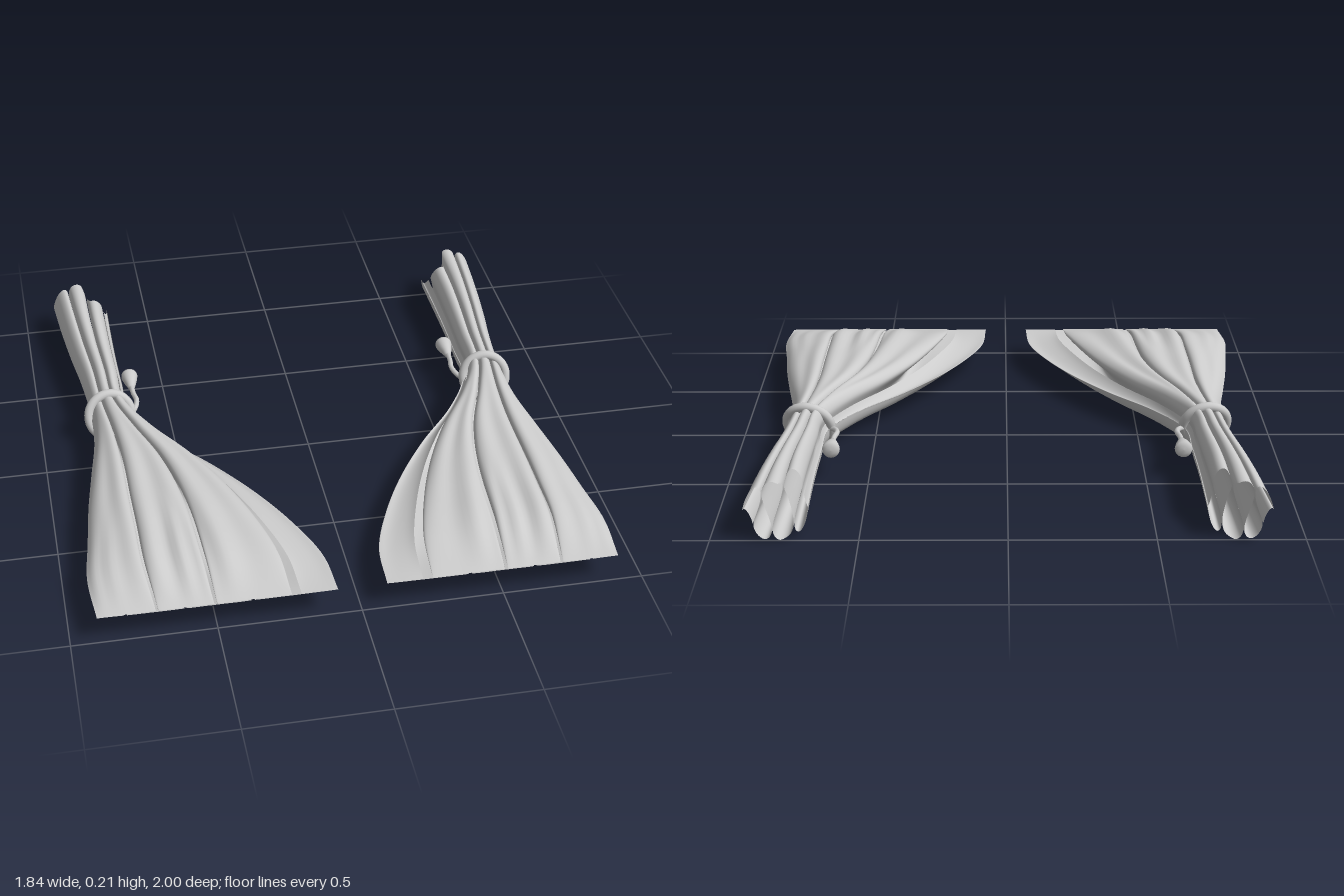
import * as THREE from 'three';

const MID = 0.107; // height of the cloth's middle plane
const WAVES = 2; // full pleats across the cloth
const lerp = THREE.MathUtils.lerp;
const smooth = THREE.MathUtils.smoothstep;

// Outline every 0.2 along z from -1 to 1: inner edge, outer edge, half thickness
const outline = new THREE.CatmullRomCurve3([
  [0.67, 0.885, 0.106], [0.672, 0.87, 0.104], [0.672, 0.85, 0.097], [0.668, 0.825, 0.09],
  [0.658, 0.81, 0.082], [0.555, 0.815, 0.09], [0.4, 0.845, 0.095], [0.27, 0.875, 0.095],
  [0.17, 0.897, 0.09], [0.1, 0.918, 0.068], [0.085, 0.905, 0.003],
].map((p) => new THREE.Vector3(...p)), false, 'catmullrom', 0.5);

// One sheet folded into overlapping pleats, gathered at the tie and flattened at the hem
function clothGeometry(side) {
  const geo = new THREE.PlaneGeometry(1, 1, 220, 90);
  const pos = geo.attributes.position;
  const uv = geo.attributes.uv;
  const o = new THREE.Vector3();
  const width = 1 / (WAVES + 1.43);
  for (let i = 0; i < pos.count; i++) {
    const v = 1 - uv.getY(i);
    outline.getPoint(v, o);
    let z = -1 + 2 * v;

    // Pleat: the sideways swing makes each fold bulge over its neighbour
    const turn = lerp(-1.1, 2 * WAVES + 1.2, uv.getX(i)) * Math.PI;
    const swing = 0.345 * width;
    let t = THREE.MathUtils.clamp(
      (turn / (2 * Math.PI) + 0.715) * width - swing * Math.sin(2 * turn), 0, 1);
    t += 0.06 * t * (1 - t) * Math.sin(z * 4 + t * 9);
    const wave = Math.sin(turn);

    // Rounded envelope, folds wider on the inner side towards the hem
    const dome = Math.pow(Math.max(0, 1 - Math.pow(Math.abs(2 * t - 1), 2.6)), 0.55);
    const spread = Math.pow(t, lerp(1.12, 0.82, smooth(z, -0.5, 0.8)));

    // Below the tie a soft crease splits each fold, with small ripples near the hem
    const crease = 0.2 * Math.pow(Math.abs(wave), 30) * smooth(z, -0.2, 0.4);
    const ripple = 0.1 * Math.sin(t * 47 + 2 * Math.sin(t * 13)) * smooth(z, 0.4, 0.9);
    const x = lerp(o.x, o.y, spread);
    const y = MID + o.z * wave * Math.max(dome, 0.1) * (1 - crease + ripple);

    // Inner folds stop short at the gathered end
    const shortfall = 0.13 * (1 - smooth(t, 0.36, 0.5)) * (0.6 + 0.4 * wave);
    z += shortfall * (1 - smooth(z, -1, -0.45));
    pos.setXYZ(i, side * x, y, z);
  }
  geo.computeVertexNormals();
  return geo;
}

function createCurtain(side, cloth, cord) {
  const group = new THREE.Group();
  group.name = side > 0 ? 'leftCurtain' : 'rightCurtain';
  const add = (name, geo, material) => {
    const mesh = new THREE.Mesh(geo, material);
    mesh.name = name;
    group.add(mesh);
    return mesh;
  };

  add('cloth', clothGeometry(side), cloth);

  // Tie ring, leaning back at the top and towards the inner side
  const ring = add('tieRing', new THREE.TorusGeometry(0.083, 0.018, 14, 48), cord);
  ring.position.set(side * 0.737, 0.112, -0.175);
  ring.rotation.set(-0.4, side * -0.15, 0);

  // Cord from the ring to the tassel
  const path = new THREE.CatmullRomCurve3([
    [0.66, 0.1, -0.185], [0.637, 0.105, -0.215], [0.626, 0.11, -0.26],
    [0.633, 0.11, -0.31], [0.635, 0.11, -0.36],
  ].map(([x, y, z]) => new THREE.Vector3(side * x, y, z)));
  add('tasselCord', new THREE.TubeGeometry(path, 24, 0.01, 8), cord);

  // Flared tassel with a rounded end
  const profile = [[0, 0], [0.012, 0], [0.018, 0.02], [0.026, 0.05], [0.032, 0.08],
    [0.03, 0.09], [0.015, 0.096], [0, 0.097]].map(([r, h]) => new THREE.Vector2(r, h));
  const tassel = add('tassel', new THREE.LatheGeometry(profile, 20), cord);
  tassel.position.set(side * 0.635, 0.11, -0.35);
  tassel.rotation.x = -Math.PI / 2;
  return group;
}

export function createModel() {
  const cloth = new THREE.MeshStandardMaterial({ color: 0xcccccc, side: THREE.DoubleSide });
  const cord = new THREE.MeshStandardMaterial({ color: 0xcccccc });
  const model = new THREE.Group();
  model.name = 'tiedCurtains';
  for (const side of [-1, 1]) model.add(createCurtain(side, cloth, cord));
  return model;
}
